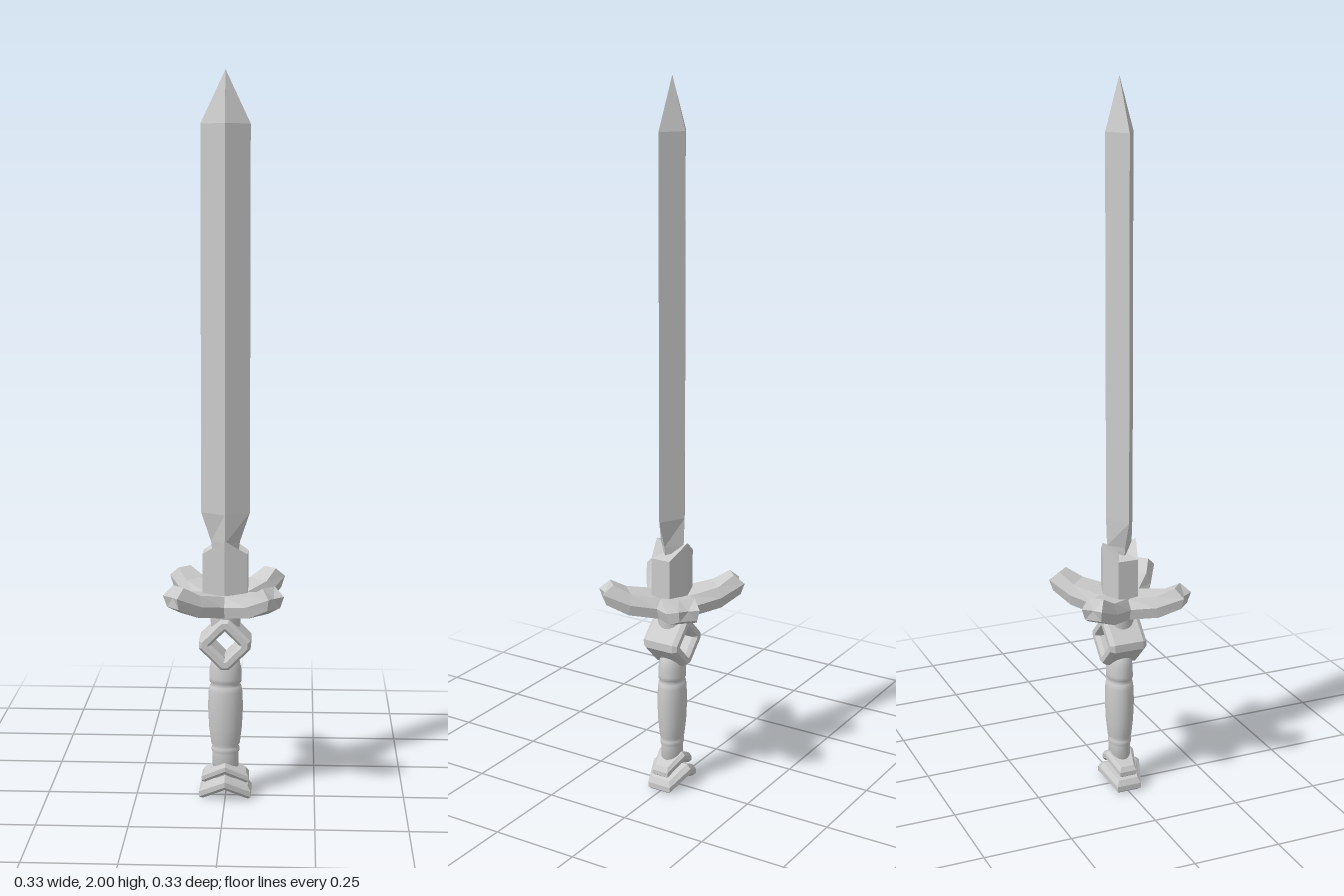
import * as THREE from 'three';

const flat = new THREE.MeshStandardMaterial({ color: 0xcccccc, flatShading: true });
const smooth = new THREE.MeshStandardMaterial({ color: 0xcccccc });

// Skin a list of closed cross-sections and close both ends with fans.
function loft(sections, startCentre, endCentre) {
  const n = sections[0].length;
  const pos = [...sections.flat(2), ...startCentre, ...endCentre];
  const start = sections.length * n, end = start + 1, last = start - n;
  const index = [];
  for (let j = 0; j < n; j++) {
    const k = (j + 1) % n;
    for (let i = 0; i < sections.length - 1; i++) {
      const a = i * n + j, b = i * n + k;
      index.push(a, b, b + n, a, b + n, a + n);
    }
    index.push(start, k, j, end, last + j, last + k);
  }
  const g = new THREE.BufferGeometry();
  g.setAttribute('position', new THREE.Float32BufferAttribute(pos, 3));
  g.setIndex(index);
  const out = g.toNonIndexed();
  out.computeVertexNormals();
  return out;
}

// Six-sided plan with points at front and back; the height falls away sideways.
function hexRing(w, z, y, drop, side = 0.58) {
  return [[w, -side], [0, -1], [-w, -side], [-w, side], [0, 1], [w, side]]
    .map(([x, f]) => [x, y - drop * Math.abs(x), f * z]);
}

// Square standing on a corner, with its corners trimmed.
function diamond(path, r, trim) {
  path.setFromPoints([[1, 0], [0, 1], [-1, 0], [0, -1]].flatMap(([x, y]) => [
    new THREE.Vector2(x * (r - trim) + y * trim, y * (r - trim) - x * trim),
    new THREE.Vector2(x * (r - trim) - y * trim, y * (r - trim) + x * trim),
  ]));
  path.closePath();
  return path;
}

export function createModel() {
  const model = new THREE.Group();
  model.name = 'sword';
  const add = (name, geometry, material = flat, parent = model) => {
    const m = new THREE.Mesh(geometry, material);
    m.name = name;
    parent.add(m);
    return m;
  };

  // Blade: diamond section, narrowed at the root and pointed at the tip
  const blade = [[0.69, 0.034, 0.034], [0.73, 0.04, 0.037], [0.81, 0.067, 0.04],
    [1.86, 0.067, 0.04], [2, 0.0005, 0.0005]]
    .map(([y, w, t]) => [[w, y, 0], [0, y, -t], [-w, y, 0], [0, y, t]]);
  add('blade', loft(blade, [0, 0.69, 0], [0, 2, 0]));

  // Collar around the blade root, peaked at front and back
  add('collar', loft([hexRing(0.062, 0.05, 0.54, 0), hexRing(0.062, 0.05, 0.74, 0.65)],
    [0, 0.54, 0], [0, 0.715, 0]));

  // Cross guard: four rising arms on the diagonals
  const guard = new THREE.Group();
  guard.name = 'crossGuard';
  model.add(guard);
  // Each station: [distance, half width, height] for top, middle and bottom
  const stations = [
    [[0.001, 0.001, 0.587], [0.001, 0.001, 0.56], [0.001, 0.001, 0.53]],
    [[0.042, 0.042, 0.587], [0.057, 0.057, 0.562], [0.05, 0.05, 0.53]],
    [[0.125, 0.034, 0.603], [0.13, 0.046, 0.574], [0.132, 0.038, 0.543]],
    [[0.172, 0.022, 0.63], [0.202, 0.029, 0.605], [0.192, 0.024, 0.573]],
  ];
  const arm = loft(stations.map(([t, m, b]) => [
    [m[0], m[2], -m[1]], [t[0], t[2], -t[1]], [t[0], t[2], t[1]],
    [m[0], m[2], m[1]], [b[0], b[2], b[1]], [b[0], b[2], -b[1]],
  ]), [0, 0.56, 0], [0.192, 0.602, 0]);
  for (let i = 0; i < 4; i++) {
    add('guardArm', arm, flat, guard).rotation.y = Math.PI / 4 + i * Math.PI / 2;
  }

  // Neck between the guard and the ring
  const neck = new THREE.CylinderGeometry(0.044, 0.04, 0.06, 20);
  neck.translate(0, 0.515, 0);
  add('neck', neck, smooth);

  // Open diamond ring with bevelled rims
  const ringShape = diamond(new THREE.Shape(), 0.071, 0.008);
  ringShape.holes.push(diamond(new THREE.Path(), 0.05, 0.003));
  const ring = new THREE.ExtrudeGeometry(ringShape, {
    depth: 0.086, bevelEnabled: true, bevelThickness: 0.012, bevelSize: 0.008, bevelSegments: 1,
  });
  ring.translate(0, 0.447, -0.043);
  add('diamondRing', ring);

  // Handle: turned profile, slightly flattened front to back
  const profile = [[0, 0.05], [0.036, 0.05], [0.036, 0.125], [0.039, 0.132], [0.039, 0.142],
    [0.035, 0.147], [0.04, 0.153], [0.046, 0.2], [0.049, 0.26], [0.047, 0.305], [0.044, 0.32],
    [0.038, 0.325], [0.045, 0.333], [0.045, 0.343], [0.044, 0.37], [0.039, 0.395], [0.028, 0.41], [0, 0.41]];
  const handle = new THREE.LatheGeometry(profile.map(([r, y]) => new THREE.Vector2(r, y)), 24);
  handle.scale(1, 1, 0.82);
  add('handle', handle, smooth);

  // Pommel: two stacked chevron plates with chamfered rims
  const plate = (name, w, z, y0, y1) => {
    const c = (y1 - y0) * 0.3;
    add(name, loft([hexRing(w * 0.88, z * 0.8, y0, 0.5), hexRing(w, z, y0 + c, 0.5),
      hexRing(w, z, y1 - c, 0.5), hexRing(w * 0.88, z * 0.8, y1, 0.5)], [0, y0, 0], [0, y1, 0]));
  };
  plate('upperPommelPlate', 0.066, 0.043, 0.073, 0.104);
  plate('lowerPommelPlate', 0.072, 0.062, 0.0317, 0.069);

  return model;
}
